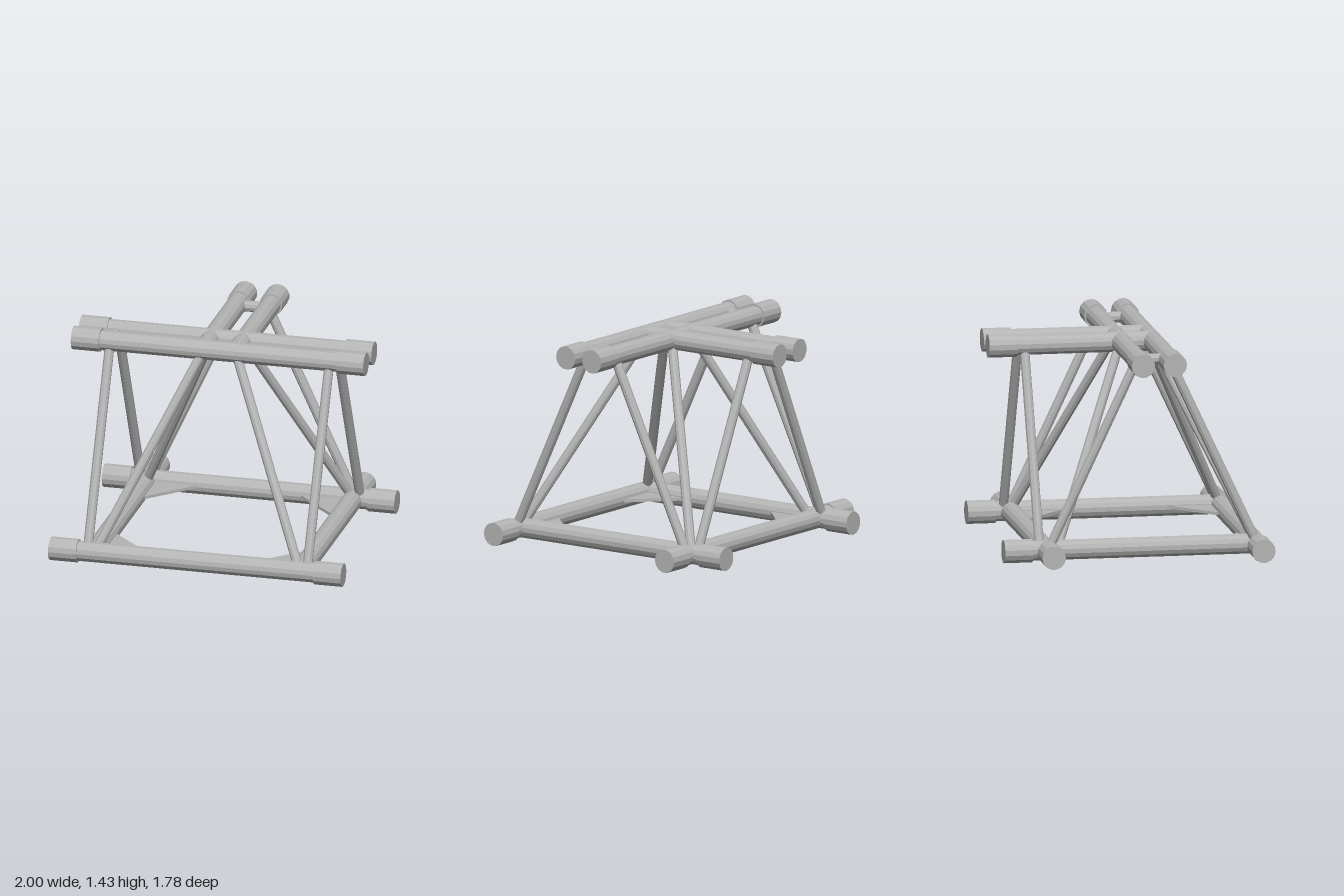
import * as THREE from 'three';

const LOW = 0.083, HIGH = 1.356;        // heights of the lower and upper tube axes
const TUBE = 0.0675, CAP = 0.079, STRUT = 0.032, LINK = 0.037;
const CAP_LENGTH = 0.19;
const FRONT = 0.81, BACK = -0.6;        // lower cross tubes
const TOP_FRONT = 0.214, TOP_BACK = 0;  // upper cross tubes
const LOW_X = 0.705, HIGH_X = 0.11;     // tubes running front to back
const END_Z = -0.89;

export function createModel() {
  const group = new THREE.Group();
  const steel = new THREE.MeshStandardMaterial({ color: 0xb4b4b4, flatShading: true });
  steel.name = 'grey steel';

  // Straight round bar between two points
  function bar(name, a, b, radius, sides = 14) {
    const from = new THREE.Vector3(...a), to = new THREE.Vector3(...b);
    const direction = to.clone().sub(from);
    const mesh = new THREE.Mesh(
      new THREE.CylinderGeometry(radius, radius, direction.length(), sides), steel);
    mesh.name = name;
    mesh.position.copy(from).add(to).multiplyScalar(0.5);
    mesh.quaternion.setFromUnitVectors(new THREE.Vector3(0, 1, 0), direction.normalize());
    group.add(mesh);
  }

  // Cross tubes with a thicker sleeve on each end
  const crossTubes = [
    ['lowerFrontTube', LOW, FRONT], ['lowerBackTube', LOW, BACK],
    ['upperFrontTube', HIGH, TOP_FRONT], ['upperBackTube', HIGH, TOP_BACK],
  ];
  for (const [name, y, z] of crossTubes) {
    bar(name, [-0.95, y, z], [0.95, y, z], TUBE);
    for (const s of [-1, 1]) {
      bar(name + 'Sleeve', [s * (1 - CAP_LENGTH), y, z], [s, y, z], CAP);
    }
  }

  for (const s of [-1, 1]) {
    // Tubes running front to back, sleeved at the rear
    for (const [name, x, y, front] of [
      ['lowerSideTube', LOW_X, LOW, FRONT], ['upperSpineTube', HIGH_X, HIGH, TOP_FRONT],
    ]) {
      bar(name, [s * x, y, END_Z + 0.05], [s * x, y, front], TUBE);
      bar(name + 'Sleeve', [s * x, y, END_Z], [s * x, y, END_Z + CAP_LENGTH], CAP);
    }

    // Outer legs and the short links between the upper cross tubes
    bar('frontLeg', [s * 0.75, LOW, FRONT], [s * 0.75, HIGH, TOP_FRONT], STRUT, 10);
    bar('backLeg', [s * 0.75, LOW, BACK], [s * 0.75, HIGH, TOP_BACK], STRUT, 10);
    bar('upperLink', [s * 0.75, HIGH, TOP_BACK], [s * 0.75, HIGH, TOP_FRONT], LINK, 10);

    // Diagonal braces rising to the upper crossing
    bar('frontBrace', [s * 0.7, LOW, FRONT], [s * HIGH_X, HIGH, TOP_FRONT], STRUT, 10);
    bar('backBrace', [s * 0.7, LOW, s < 0 ? -0.53 : BACK], [s * HIGH_X, HIGH, TOP_BACK], STRUT, 10);
    bar('rearBrace', [s * 0.7, LOW, -0.645], [s * HIGH_X, HIGH, -0.645], STRUT, 10);

    // Triangular gusset plates in the lower corners
    for (const [z, d] of [[FRONT, -1], [BACK, 1]]) {
      const shape = new THREE.Shape([
        new THREE.Vector2(s * LOW_X, z),
        new THREE.Vector2(s * LOW_X, z + d * 0.41),
        new THREE.Vector2(s * (LOW_X - 0.41), z),
      ]);
      const plate = new THREE.Mesh(
        new THREE.ExtrudeGeometry(shape, { depth: 0.02, bevelEnabled: false }), steel);
      plate.name = 'cornerGusset';
      plate.rotation.x = Math.PI / 2;
      plate.position.y = LOW + 0.01;
      group.add(plate);
    }
  }

  // Link between the two upper spine tubes
  bar('spineLink', [-HIGH_X, HIGH, -0.645], [HIGH_X, HIGH, -0.645], LINK, 10);

  return group;
}
